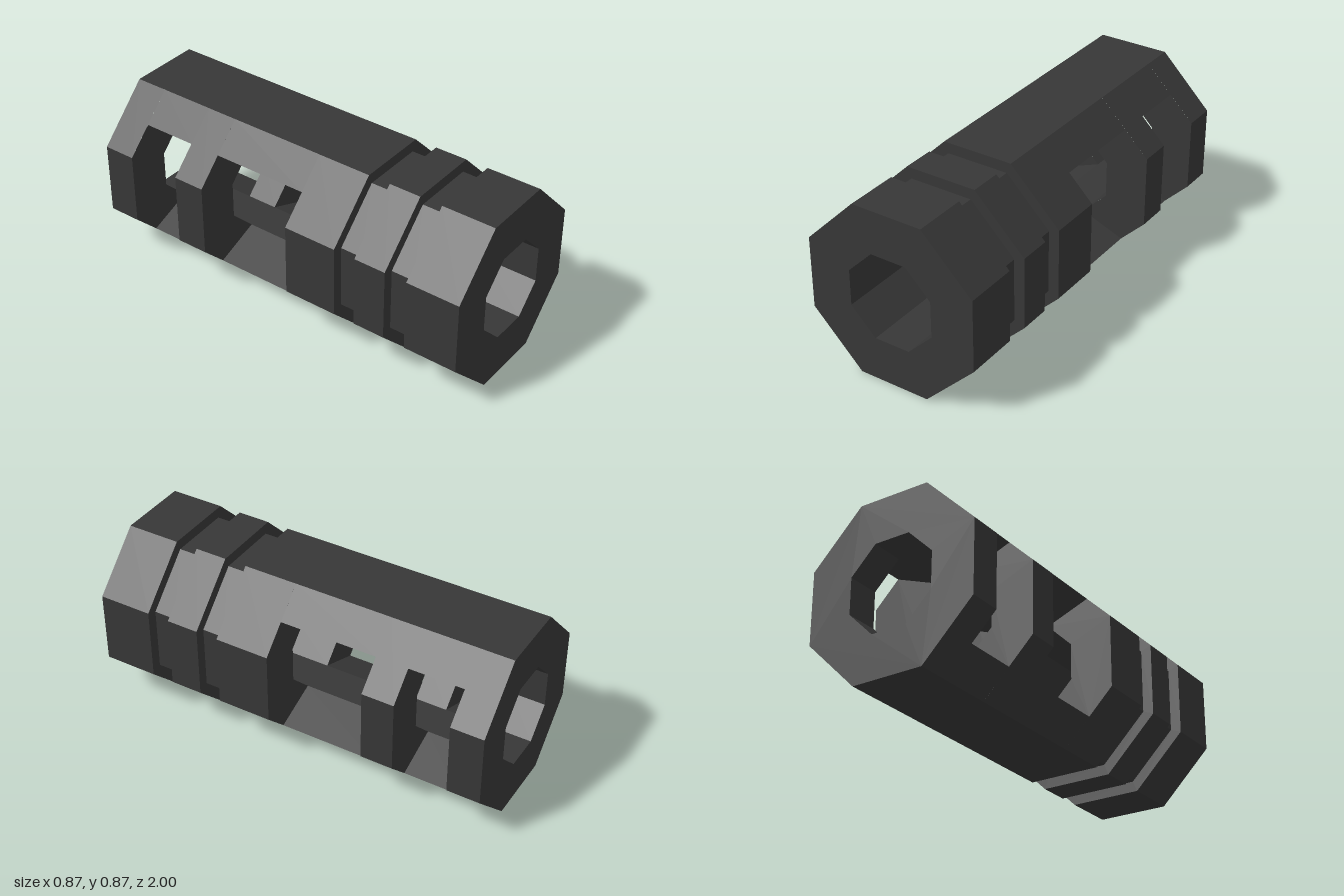
import * as THREE from 'three';
import { mergeGeometries } from 'three/addons/utils/BufferGeometryUtils.js';

const CY = 0.433; // height of the tube axis

// Octagon with flat sides, counter-clockwise seen from +z
function octagon(apothem) {
  const r = apothem / Math.cos(Math.PI / 8);
  return Array.from({ length: 8 }, (_, i) => {
    const a = Math.PI / 8 + (i * Math.PI) / 4;
    return new THREE.Vector2(r * Math.cos(a), CY + r * Math.sin(a));
  });
}

// Side walls of a prism along z; faces point outward for counter-clockwise points
function wall(points, z0, z1) {
  const pos = [];
  points.forEach((a, i) => {
    const b = points[(i + 1) % points.length];
    pos.push(a.x, a.y, z0, b.x, b.y, z0, b.x, b.y, z1);
    pos.push(a.x, a.y, z0, b.x, b.y, z1, a.x, a.y, z1);
  });
  const g = new THREE.BufferGeometry();
  g.setAttribute('position', new THREE.Float32BufferAttribute(pos, 3));
  g.computeVertexNormals();
  return g;
}

// Flat end face at z, facing +z (dir 1) or -z (dir -1)
function cap(points, hole, z, dir) {
  const shape = new THREE.Shape(points);
  if (hole) shape.holes.push(new THREE.Path(hole));
  const g = new THREE.ShapeGeometry(shape).toNonIndexed();
  g.deleteAttribute('uv');
  if (dir < 0) g.rotateY(Math.PI);
  return g.translate(0, 0, z);
}

export function createModel() {
  const group = new THREE.Group();
  const metal = new THREE.MeshStandardMaterial({ color: 0x373737 });
  metal.name = 'dark metal';
  metal.flatShading = true;

  const add = (name, parts) => {
    const mesh = new THREE.Mesh(mergeGeometries(parts), metal);
    mesh.name = name;
    group.add(mesh);
  };

  const outer = octagon(0.433);
  const groove = octagon(0.38);
  const bore = octagon(0.2165);
  const boreIn = [...bore].reverse();

  // Window edge points, mirrored by sign
  const v = (x, y) => new THREE.Vector2(x, CY + y);
  const beam = [v(0.31, 0.302), v(0.179, 0.433), v(-0.179, 0.433),
    v(-0.31, 0.302), v(-0.09, 0.2165), v(0.09, 0.2165)];
  const lowerBeam = beam.map((p) => new THREE.Vector2(-p.x, 2 * CY - p.y));
  const side = [v(0.31, -0.302), v(0.433, -0.179), v(0.433, 0.179), v(0.31, 0.302),
    v(0.09, 0.2165), v(0.2165, 0.09), v(0.2165, -0.09), v(0.09, -0.2165)];
  const otherSide = side.map((p) => new THREE.Vector2(-p.x, p.y)).reverse();
  const windowEnd = (z, dir) => [cap(side, null, z, dir), cap(otherSide, null, z, dir)];
  const ring = (z0, z1) => [wall(outer, z0, z1), wall(boreIn, z0, z1)];
  const step = (z, dir) => cap(outer, groove, z, dir);

  // Solid rings from front to back
  add('frontCollar', [...ring(0.733, 1), cap(outer, bore, 1, 1), step(0.733, -1)]);
  add('middleCollar', [...ring(0.462, 0.622), step(0.622, 1), step(0.462, -1)]);
  add('bodyCollar', [...ring(0.082, 0.352), step(0.352, 1), ...windowEnd(0.082, -1)]);
  add('windowRib', [...ring(-0.566, -0.406), ...windowEnd(-0.406, 1), ...windowEnd(-0.566, -1)]);
  add('rearCollar', [...ring(-1, -0.838), ...windowEnd(-0.838, 1), cap(outer, bore, -1, -1)]);

  // Recessed grooves between the collars
  for (const [name, z0, z1] of [['frontGroove', 0.622, 0.733], ['rearGroove', 0.352, 0.462]]) {
    add(name, [wall(groove, z0, z1), wall(boreIn, z0, z1)]);
  }

  // Upper and lower beams that frame the side windows
  for (const [name, z0, z1] of [['frontWindow', -0.406, 0.082], ['rearWindow', -0.838, -0.566]]) {
    add(name + 'UpperBeam', [wall(beam, z0, z1)]);
    add(name + 'LowerBeam', [wall(lowerBeam, z0, z1)]);
  }
  return group;
}
